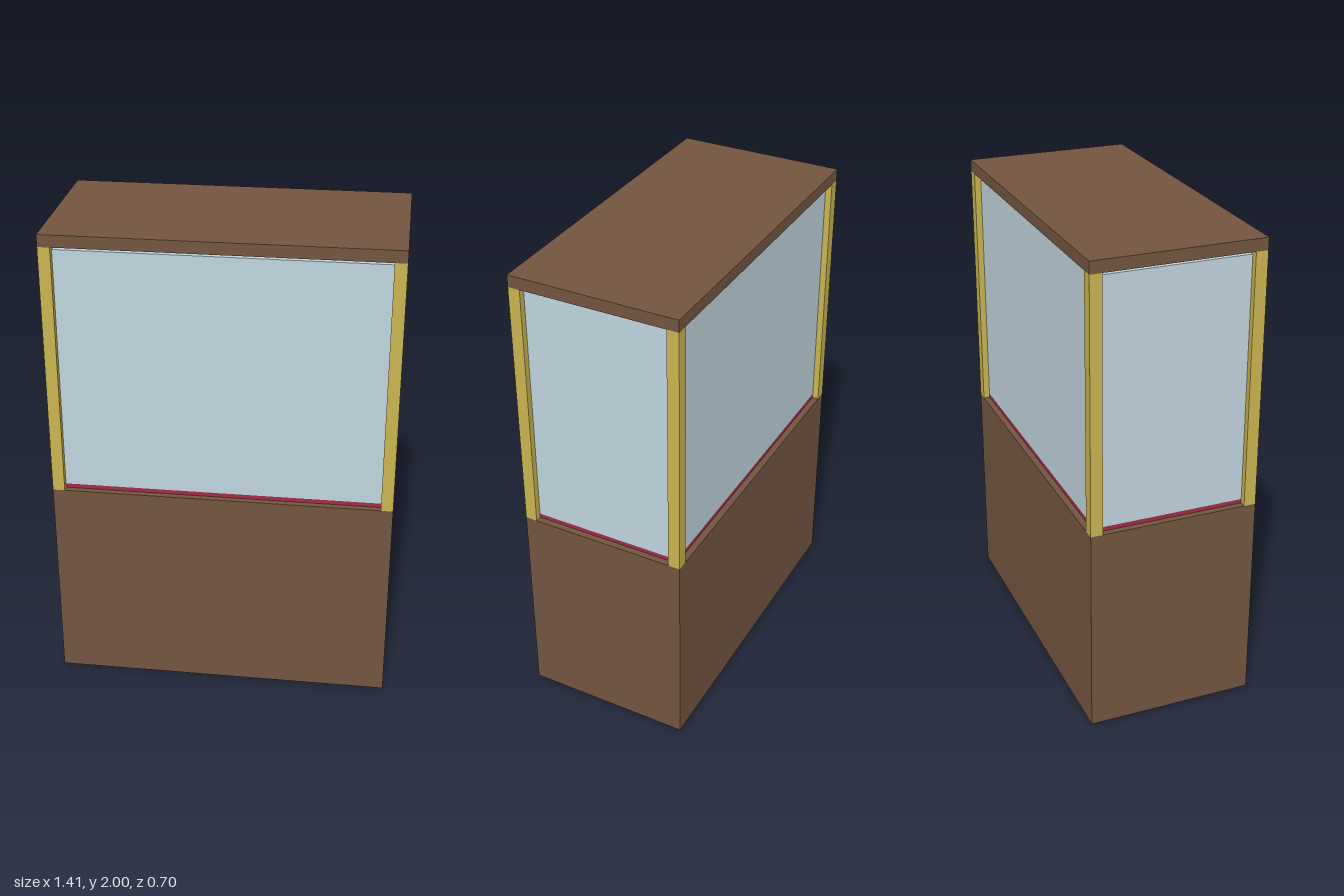
import * as THREE from 'three';

const W = 1.41, D = 0.705;          // footprint
const BASE_TOP = 0.887, LID_BOTTOM = 1.95;
const POST = 0.05, INSET = 0.027;   // post width, glass set-back

const wood = new THREE.MeshStandardMaterial({ color: 0x735540 });
const brass = new THREE.MeshStandardMaterial({ color: 0xcab450 });
const felt = new THREE.MeshStandardMaterial({ color: 0xa02c48 });
const glass = new THREE.MeshStandardMaterial({ color: 0xbfd4dd });

// Box spanning y0..y1, centred on (x, z)
function box(name, material, w, d, y0, y1, x = 0, z = 0) {
  const mesh = new THREE.Mesh(new THREE.BoxGeometry(w, y1 - y0, d), material);
  mesh.name = name;
  mesh.position.set(x, (y0 + y1) / 2, z);
  return mesh;
}

export function createModel() {
  const model = new THREE.Group();
  model.name = 'displayCase';

  // Solid cabinet and lid
  model.add(box('base', wood, W, D, 0, BASE_TOP));
  model.add(box('lid', wood, W, D, LID_BOTTOM, 2));

  // Felt pad with the glass enclosure on it, stopping short of the lid
  const w = W - 2 * INSET, d = D - 2 * INSET;
  model.add(box('feltPad', felt, w, d, BASE_TOP, 0.905));
  model.add(box('glassEnclosure', glass, w, d, 0.905, 1.933));

  // Corner posts
  for (const [sx, side] of [[1, 'Left'], [-1, 'Right']]) {
    for (const [sz, end] of [[1, 'front'], [-1, 'back']]) {
      model.add(box(`${end}${side}Post`, brass, POST, POST, BASE_TOP, LID_BOTTOM,
        sx * (W - POST) / 2, sz * (D - POST) / 2));
    }
  }
  return model;
}
